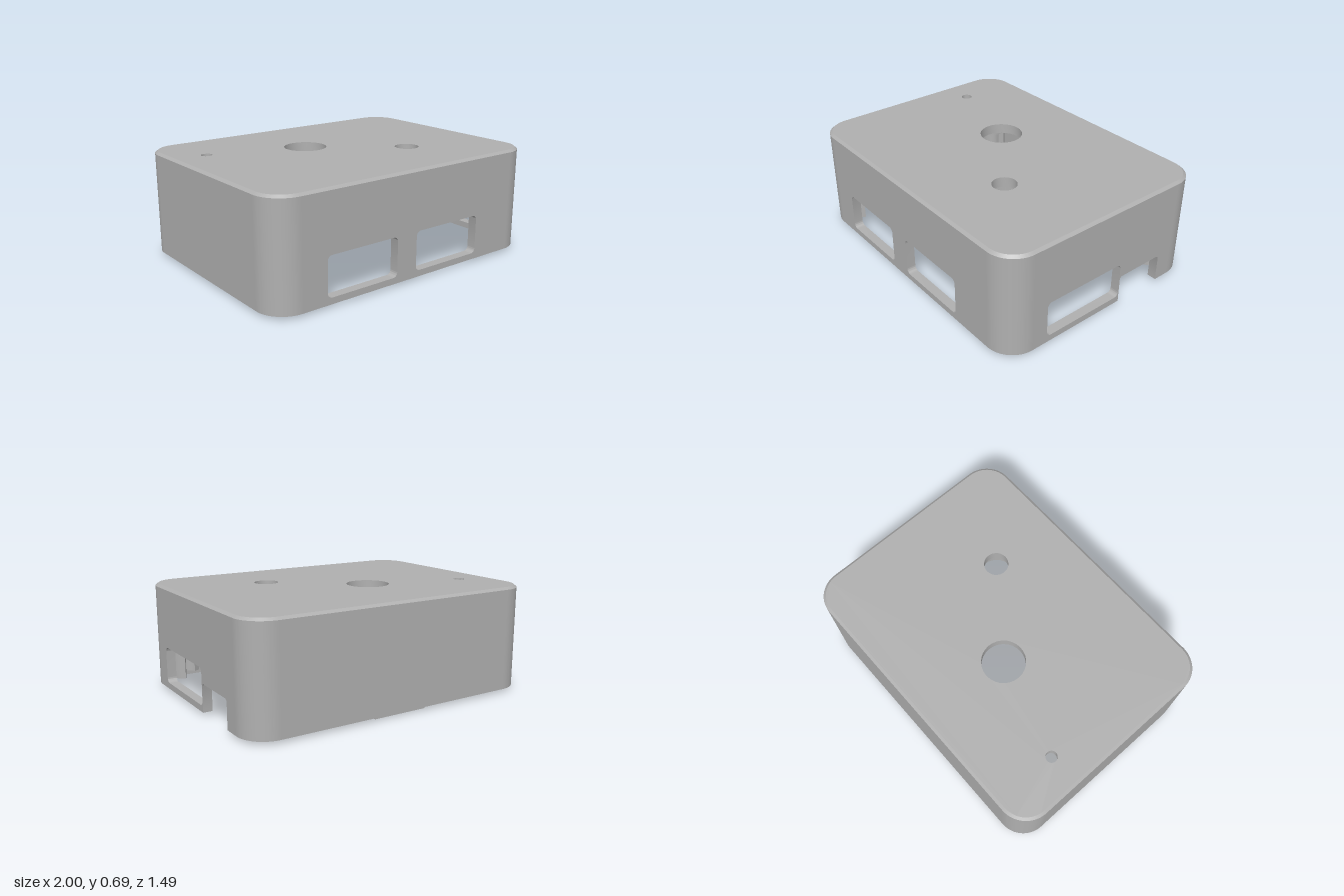
import * as THREE from 'three';
import { toCreasedNormals } from 'three/addons/utils/BufferGeometryUtils.js';

const W = 1, D = 0.745, R = 0.18, T = 0.06; // half width, half depth, corner radius, wall
const Y0 = 0.02, Y1 = 0.675, TOP = 0.69, CEIL = 0.625, BEVEL = 0.018;

export function createModel() {
  const group = new THREE.Group();
  const grey = new THREE.MeshStandardMaterial({ color: 0xb0b0b0 });
  grey.name = 'grey plastic';

  const add = (name, geo) => {
    const mesh = new THREE.Mesh(geo, grey);
    mesh.name = name;
    group.add(mesh);
    return mesh;
  };
  const extrude = (shape, depth) => toCreasedNormals(
    new THREE.ExtrudeGeometry(shape, { depth, bevelEnabled: false, curveSegments: 14 }), 0.5);
  // extrudes a plan shape (x, -z) upwards between two heights
  const rise = (shape, y0, y1) => extrude(shape, y1 - y0).rotateX(-Math.PI / 2).translate(0, y0, 0);

  const roundRect = (path, x0, y0, x1, y1, r) => {
    path.moveTo(x0 + r, y0);
    path.absarc(x1 - r, y0 + r, r, -Math.PI / 2, 0, false);
    path.absarc(x1 - r, y1 - r, r, 0, Math.PI / 2, false);
    path.absarc(x0 + r, y1 - r, r, Math.PI / 2, Math.PI, false);
    path.absarc(x0 + r, y0 + r, r, Math.PI, Math.PI * 1.5, false);
    return path;
  };
  const circle = (x, y, r) => new THREE.Path().absarc(x, y, r, 0, Math.PI * 2, true);
  const arcBand = (outer, inner, a0, a1) => {
    const s = new THREE.Shape();
    s.absarc(0, 0, outer, a0, a1, false);
    s.absarc(0, 0, inner, a1, a0, true);
    s.closePath();
    return s;
  };

  // straight walls, drawn flat with their openings
  const panel = (half, windows = [], notch = null) => {
    const s = new THREE.Shape();
    s.moveTo(-half, Y0);
    if (notch) {
      const [a, b, top, r] = notch;
      s.lineTo(a, Y0);
      s.lineTo(a, top - r);
      s.absarc(a + r, top - r, r, Math.PI, Math.PI / 2, true);
      s.absarc(b - r, top - r, r, Math.PI / 2, 0, true);
      s.lineTo(b, Y0);
    }
    s.lineTo(half, Y0);
    s.lineTo(half, Y1);
    s.lineTo(-half, Y1);
    s.closePath();
    for (const w of windows) s.holes.push(roundRect(new THREE.Path(), ...w, 0.03));
    return extrude(s, T);
  };
  add('frontWall', panel(W - R, [[-0.65, 0.06, -0.14, 0.31], [0.01, 0.06, 0.525, 0.31]])
    .translate(0, 0, D - T));
  add('backWall', panel(W - R).translate(0, 0, -D));
  add('rightWall', panel(D - R, [[-0.46, 0.06, 0.113, 0.295]], [0.118, 0.457, 0.2, 0.02])
    .rotateY(Math.PI / 2).translate(W - T, 0, 0));
  add('leftWall', panel(D - R).rotateY(Math.PI / 2).translate(-W, 0, 0));

  // rounded corners and the slotted screw posts inside them
  const cornerGeo = rise(arcBand(R, R - T, 0, Math.PI / 2), Y0, Y1);
  const postGeo = rise(new THREE.Shape().absarc(0, 0, 0.117, 0, Math.PI * 2, false), 0.34, CEIL + 0.02);
  const sleeveGeo = rise(arcBand(0.117, 0.075, -0.35 * Math.PI, 0.85 * Math.PI), 0.06, 0.34);
  [[1, -1], [-1, -1], [-1, 1], [1, 1]].forEach(([sx, sz], i) => {
    const corner = add('corner', cornerGeo);
    corner.position.set(sx * (W - R), 0, sz * (D - R));
    corner.rotation.y = i * Math.PI / 2;
    for (const [name, geo] of [['screwPost', postGeo], ['screwSleeve', sleeveGeo]]) {
      const m = add(name, geo);
      m.position.set(sx * 0.82, 0, sz * 0.57);
      m.rotation.y = i * Math.PI / 2;
    }
  });

  // lid plate with three round holes
  const lid = roundRect(new THREE.Shape(), -W + BEVEL, -D + BEVEL, W - BEVEL, D - BEVEL, R - BEVEL);
  lid.holes.push(circle(-0.157, 0.148, 0.138), circle(0.37, -0.255, 0.078), circle(-0.782, 0.327, 0.036));
  add('lid', rise(lid, CEIL, TOP));

  // chamfer strip around the lid
  const ringPoints = (inset) => roundRect(new THREE.Path(), -W + inset, -D + inset, W - inset, D - inset, R - inset)
    .getPoints(14);
  const low = ringPoints(0), high = ringPoints(BEVEL), pos = [];
  low.forEach((p, i) => {
    const j = (i + 1) % low.length;
    const a = [p.x, Y1, -p.y], b = [low[j].x, Y1, -low[j].y];
    const c = [high[j].x, TOP, -high[j].y], d = [high[i].x, TOP, -high[i].y];
    pos.push(...a, ...b, ...c, ...a, ...c, ...d);
  });
  const chamfer = new THREE.BufferGeometry();
  chamfer.setAttribute('position', new THREE.Float32BufferAttribute(pos, 3));
  add('lidChamfer', toCreasedNormals(chamfer, 0.5));

  // collar under the smaller round hole
  add('holeCollar', rise(arcBand(0.15, 0.12, 0, Math.PI * 2), 0.51, CEIL + 0.01)).position.set(0.37, 0, 0.255);

  // thin pin hanging from the lid
  add('pin', new THREE.CylinderGeometry(0.033, 0.033, CEIL - 0.11, 24).translate(0.6, (CEIL + 0.13) / 2, -0.163));

  // snap tab under the back wall
  add('snapTab', new THREE.BoxGeometry(0.37, 0.035, 0.018).translate(-0.005, 0.0225, -0.696));
  add('snapLip', new THREE.BoxGeometry(0.37, 0.008, 0.028).translate(-0.005, 0.004, -0.701));

  return group;
}
